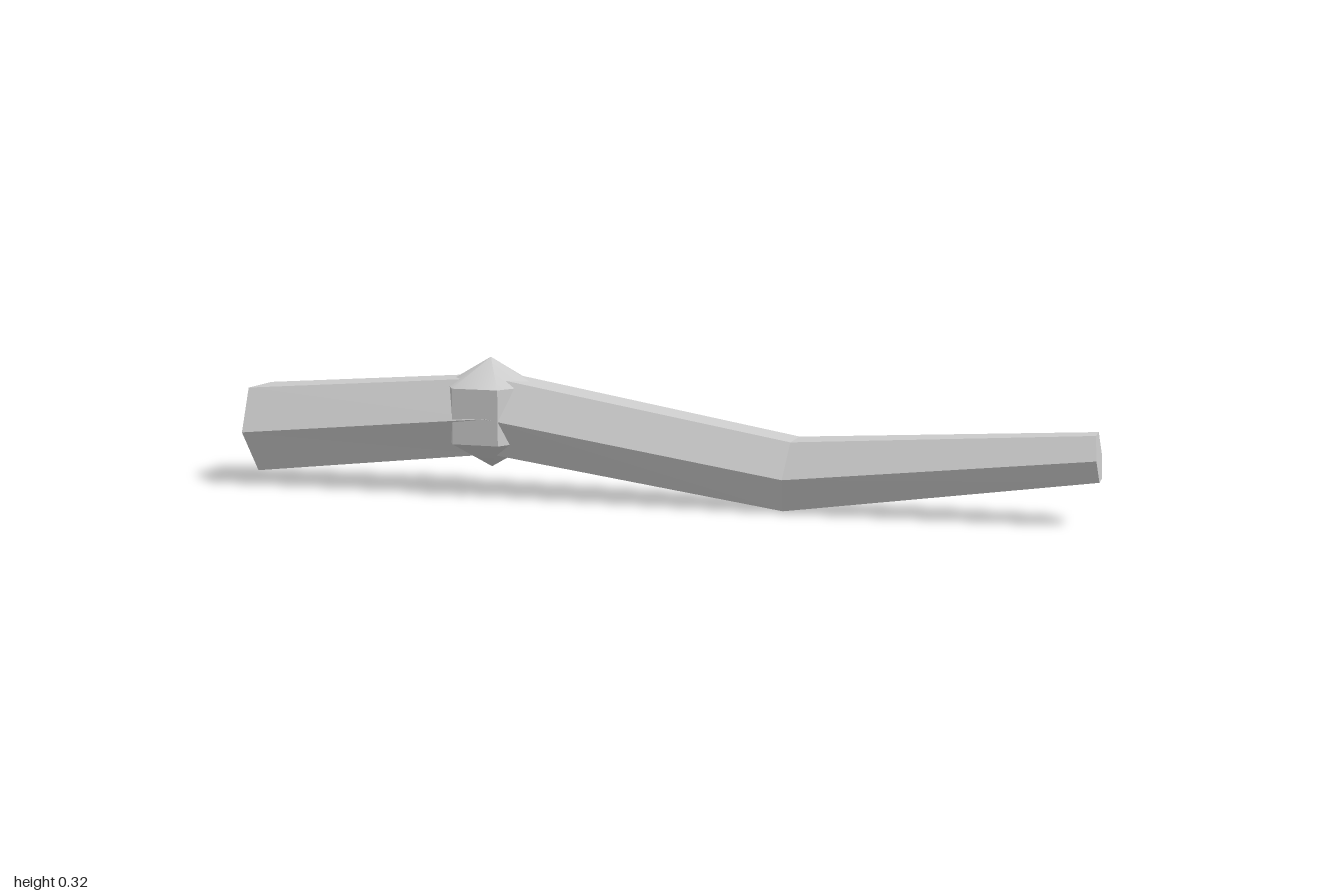
import * as THREE from 'three';
import { toCreasedNormals } from 'three/addons/utils/BufferGeometryUtils.js';

const SIDES = 6;

// Six-sided tube through sections of [x, y, radius, lean of the section's up axis].
function bentTube(sections) {
  const positions = [];
  const point = ([x, y, r, lean], k) => {
    const a = (k / SIDES) * Math.PI * 2;
    const up = Math.sin(a) * r;
    return [x + up * lean, y + up, Math.cos(a) * r];
  };
  const tri = (a, b, c) => positions.push(...a, ...b, ...c);
  const first = sections[0];
  const last = sections[sections.length - 1];
  for (let k = 0; k < SIDES; k++) {
    for (let i = 0; i < sections.length - 1; i++) {
      const a = point(sections[i], k), b = point(sections[i], k + 1);
      const c = point(sections[i + 1], k), d = point(sections[i + 1], k + 1);
      tri(a, c, b);
      tri(b, c, d);
    }
    // End caps
    tri([first[0], first[1], 0], point(first, k), point(first, k + 1));
    tri([last[0], last[1], 0], point(last, k + 1), point(last, k));
  }
  const geometry = new THREE.BufferGeometry();
  geometry.setAttribute('position', new THREE.Float32BufferAttribute(positions, 3));
  geometry.computeVertexNormals();
  return geometry;
}

export function createModel() {
  const model = new THREE.Group();
  model.name = 'branch';
  const grey = new THREE.MeshStandardMaterial({ color: 0xcccccc });
  grey.name = 'light grey';

  // Crooked stem, thick at -x and tapering to +x
  const stem = new THREE.Mesh(bentTube([
    [-0.99, 0.13, 0.115, -0.1],
    [-0.38, 0.186, 0.103, 0.04],
    [0.32, 0.079, 0.09, 0.1],
    [0.995, 0.149, 0.058, -0.1],
  ]), grey);
  stem.name = 'stem';
  model.add(stem);

  // Faceted knot around the first bend
  const knotShape = new THREE.SphereGeometry(0.129, SIDES, 3);
  knotShape.scale(1, 1, 1.06);
  const knot = new THREE.Mesh(toCreasedNormals(knotShape, 0.7), grey);
  knot.name = 'knot';
  knot.position.set(-0.4, 0.189, 0);
  model.add(knot);

  return model;
}
